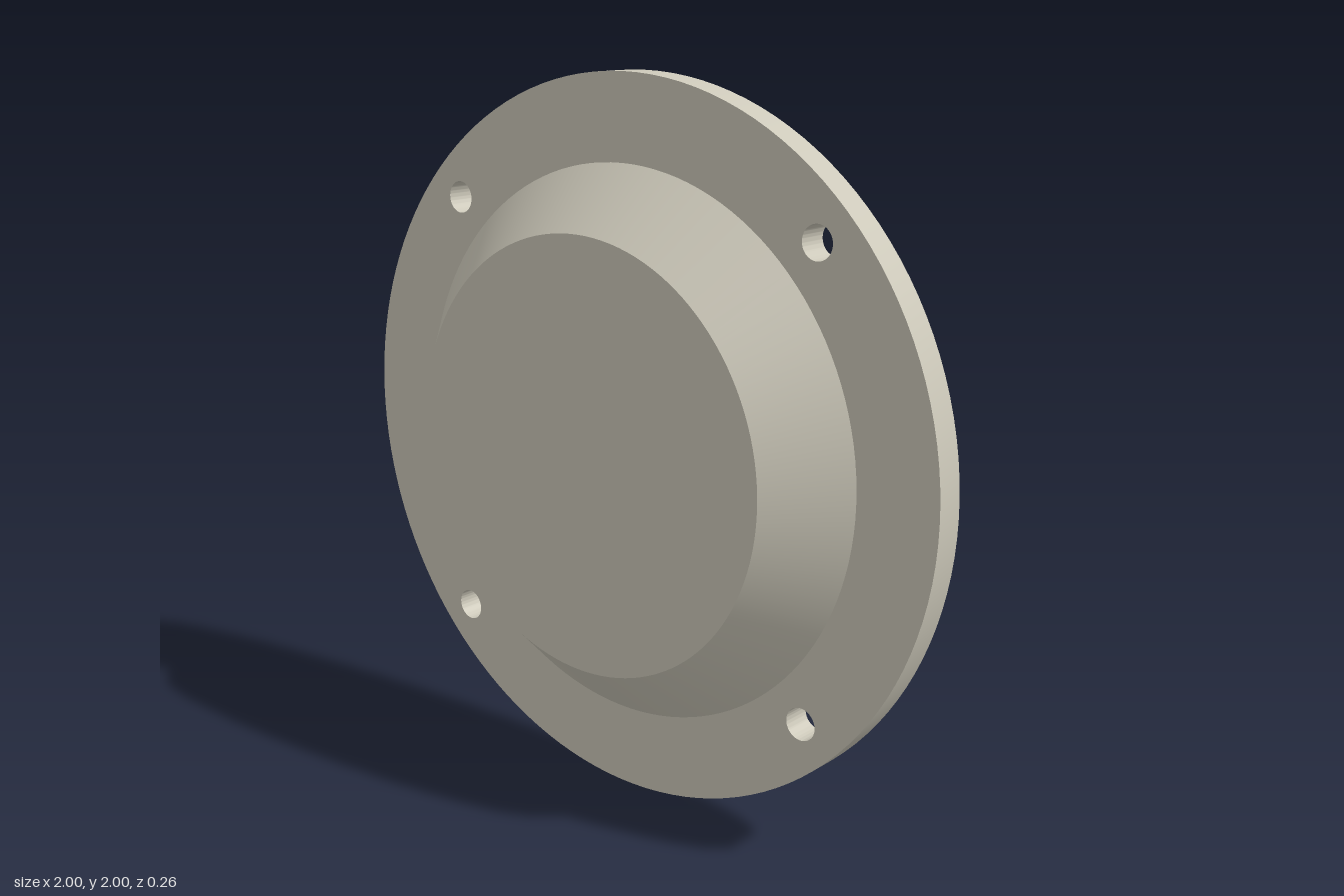
import * as THREE from 'three';
import { toCreasedNormals } from 'three/addons/utils/BufferGeometryUtils.js';

const beige = new THREE.MeshStandardMaterial({ color: 0xcdc9ba });
const darkGrey = new THREE.MeshStandardMaterial({ color: 0x8c8c8c });
const midGrey = new THREE.MeshStandardMaterial({ color: 0xb8b8b8 });

function circle(Type, x, y, r) {
  const path = new Type();
  path.absarc(x, y, r, 0, Math.PI * 2, false);
  return path;
}

// Extrude a flat shape from zBack to zFront with crisp rims and smooth walls
function extrude(shape, zBack, zFront) {
  const geo = new THREE.ExtrudeGeometry(shape, {
    depth: zFront - zBack, bevelEnabled: false, curveSegments: 64,
  });
  geo.translate(0, 0, zBack);
  return toCreasedNormals(geo, 0.5);
}

export function createModel() {
  const cover = new THREE.Group();
  cover.name = 'flangedCover';

  function add(name, geometry, material) {
    const mesh = new THREE.Mesh(geometry, material);
    mesh.name = name;
    mesh.position.y = 1;
    cover.add(mesh);
  }

  // Flange ring with four bolt holes
  const ring = circle(THREE.Shape, 0, 0, 1);
  ring.holes.push(circle(THREE.Path, 0, 0, 0.76));
  for (const x of [-0.625, 0.625]) {
    for (const y of [-0.625, 0.625]) ring.holes.push(circle(THREE.Path, x, y, 0.045));
  }
  add('flange', extrude(ring, -0.13, -0.045), beige);

  // Hollow conical dome: inner wall, seat in the flange, outer wall, front face
  const profile = [
    [0.56, 0.11], [0.76, -0.10], [0.767, -0.045], [0.6, 0.13], [0, 0.13],
  ].map(([r, z]) => new THREE.Vector2(r, z));
  const dome = new THREE.LatheGeometry(profile, 128);
  dome.rotateX(Math.PI / 2);
  add('dome', toCreasedNormals(dome, 0.5), beige);

  // Inner floor, facing the back
  const floor = new THREE.CircleGeometry(0.562, 128);
  floor.rotateY(Math.PI);
  floor.translate(0, 0, 0.11);
  add('innerFloor', floor, darkGrey);

  // Hub with a keyed bore
  const bore = 0.127, keyHalf = 0.035, keyTop = 0.153;
  const a = Math.acos(keyHalf / bore);
  const keyedBore = new THREE.Path();
  keyedBore.absarc(0, 0, bore, Math.PI - a, Math.PI * 2 + a, false);
  keyedBore.lineTo(keyHalf, keyTop);
  keyedBore.lineTo(-keyHalf, keyTop);
  keyedBore.closePath();
  const hub = circle(THREE.Shape, 0, 0, 0.187);
  hub.holes.push(keyedBore);
  add('hub', extrude(hub, -0.10, 0.11), midGrey);

  return cover;
}
